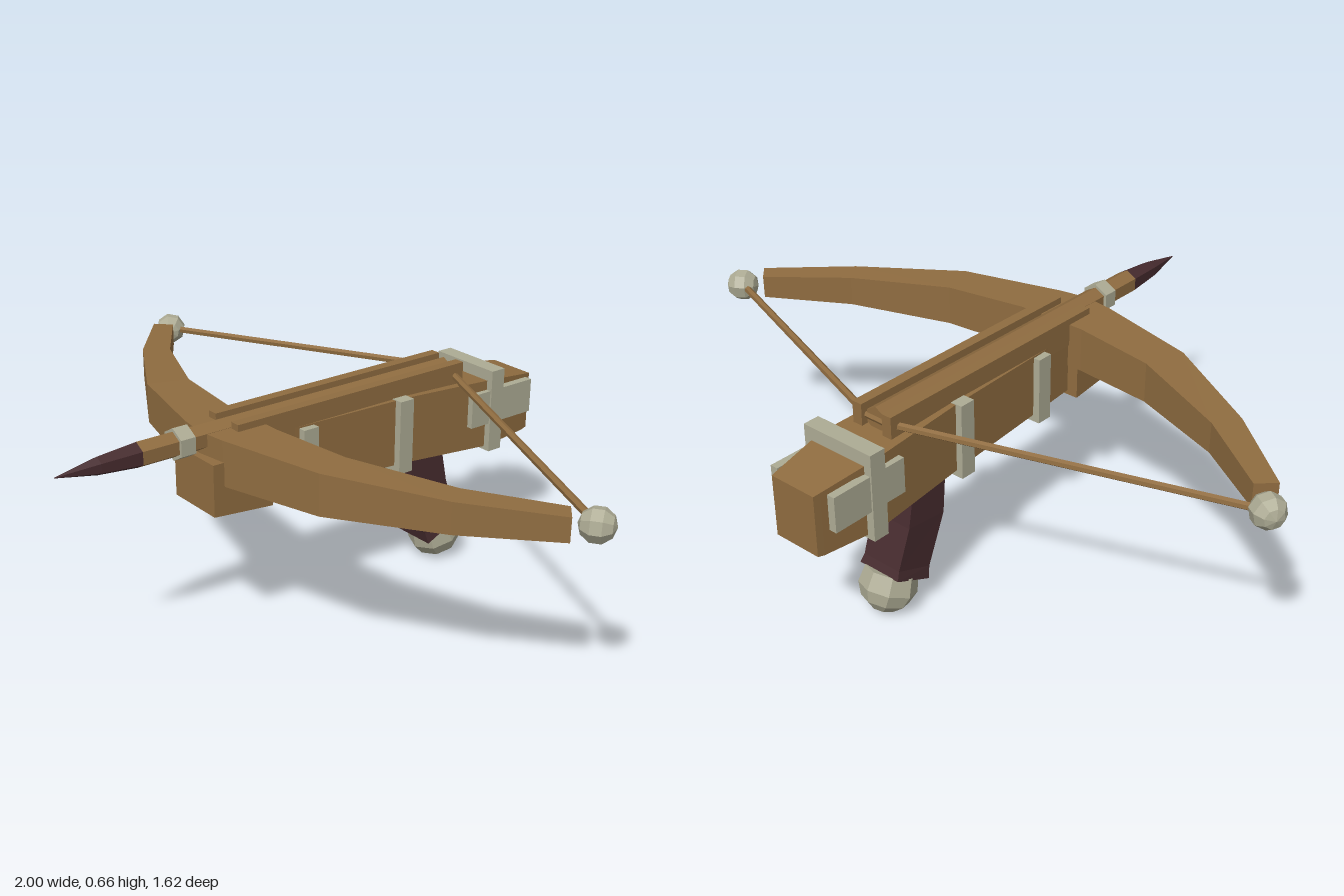
import * as THREE from 'three';

const paint = (name, color) => Object.assign(new THREE.MeshStandardMaterial({ color, flatShading: true }), { name });

// Solid through matching rings of corners, each counter-clockwise seen from the far end
function loft(rings) {
  const n = rings[0].length, last = (rings.length - 1) * n, index = [];
  for (let i = 0; i < rings.length - 1; i++) {
    for (let j = 0; j < n; j++) {
      const a = i * n + j, b = i * n + (j + 1) % n;
      index.push(a, b, b + n, a, b + n, a + n);
    }
  }
  for (let j = 1; j < n - 1; j++) index.push(0, j + 1, j, last, last + j, last + j + 1);
  const g = new THREE.BufferGeometry();
  g.setAttribute('position', new THREE.Float32BufferAttribute(rings.flat(2), 3));
  g.setIndex(index);
  const flat = g.toNonIndexed();
  flat.computeVertexNormals();
  return flat;
}

// Rectangular section across z
const sectionZ = ([z, w, bottom, top]) => [[-w, bottom, z], [w, bottom, z], [w, top, z], [-w, top, z]];

export function createModel() {
  const group = new THREE.Group();
  group.name = 'crossbow';
  const wood = paint('wood', 0x8f6c40);
  const metal = paint('metal', 0xadab94);
  const dark = paint('dark wood', 0x462b2e);

  const add = (name, geometry, material, x = 0, y = 0, z = 0) => {
    const mesh = new THREE.Mesh(geometry, material);
    mesh.name = name;
    mesh.position.set(x, y, z);
    group.add(mesh);
    return mesh;
  };
  const box = (name, material, w, h, d, x, y, z) => add(name, new THREE.BoxGeometry(w, h, d), material, x, y, z);

  // Stock and the block that holds the bow
  add('stock', loft([
    [-0.81, 0.075, 0.38, 0.56], [-0.79, 0.078, 0.376, 0.563], [-0.62, 0.1, 0.373, 0.587],
    [-0.3, 0.085, 0.395, 0.6], [0.2, 0.065, 0.418, 0.6],
  ].map(sectionZ)), wood);
  add('frontBlock', loft([[0.2, 0.1, 0.405, 0.575], [0.39, 0.094, 0.42, 0.572]].map(sectionZ)), wood);

  // Rails beside the bolt
  for (const s of [-1, 1]) box('rail', wood, 0.032, 0.085, 0.82, s * 0.053, 0.6125, -0.12);

  // Bow: [front x, front z, back x, back z, bottom, top] for one half
  const half = [
    [0.09, 0.357, 0.112, 0.198, 0.502, 0.635],
    [0.406, 0.28, 0.365, 0.162, 0.51, 0.63],
    [0.711, 0.107, 0.663, 0.037, 0.525, 0.615],
    [0.936, -0.075, 0.89, -0.12, 0.536, 0.605],
  ];
  const bowRing = (s) => ([fx, fz, bx, bz, b, t]) =>
    [[s * fx, b, fz], [s * bx, b, bz], [s * bx, t, bz], [s * fx, t, fz]];
  const middle = [0, 0.37, 0, 0.198, 0.5, 0.636];
  add('bow', loft([...[...half].reverse().map(bowRing(-1)), bowRing(1)(middle), ...half.map(bowRing(1))]), wood);

  // Bow tips and string
  const rod = (name, from, to, r) => {
    const a = new THREE.Vector3(...from), d = new THREE.Vector3(...to).sub(a);
    const mesh = add(name, new THREE.CylinderGeometry(r, r, d.length(), 6), wood);
    mesh.position.copy(a).addScaledVector(d, 0.5);
    mesh.quaternion.setFromUnitVectors(new THREE.Vector3(0, 1, 0), d.normalize());
  };
  for (const s of [-1, 1]) {
    const tip = add('bowTip', new THREE.SphereGeometry(0.049, 8, 5), metal, s * 0.953, 0.57, -0.15);
    tip.quaternion.setFromUnitVectors(new THREE.Vector3(0, 1, 0), new THREE.Vector3(s * 0.83, 0, -0.56).normalize());
    rod('string', [s * 0.953, 0.57, -0.15], [s * 0.04, 0.618, -0.51], 0.011);
  }
  rod('stringMiddle', [-0.045, 0.618, -0.51], [0.045, 0.618, -0.51], 0.011);

  // Bolt with collar and point
  const shaft = new THREE.CylinderGeometry(0.037, 0.037, 1.08, 6).rotateX(Math.PI / 2);
  add('boltShaft', shaft, wood, 0, 0.618, 0.025);
  const point = [[0, 0], [0.037, 0], [0.026, 0.12], [0.001, 0.245]].map((p) => new THREE.Vector2(...p));
  add('boltPoint', new THREE.LatheGeometry(point, 6).rotateX(Math.PI / 2), dark, 0, 0.618, 0.563);
  add('boltCollar', new THREE.CylinderGeometry(0.047, 0.047, 0.046, 6).rotateX(Math.PI / 2), metal, 0, 0.618, 0.43);

  // Metal bands around the stock: [z, half width, bottom, top]
  for (const [z, w, b, t] of [[0.06, 0.093, 0.39, 0.595], [-0.28, 0.106, 0.375, 0.602], [-0.63, 0.12, 0.363, 0.622]]) {
    box('band', metal, 2 * w, t - b, 0.05, 0, (b + t) / 2, z);
  }
  for (const s of [-1, 1]) box('sidePlate', metal, 0.024, 0.105, 0.245, s * 0.103, 0.506, -0.656);

  // Grip: [front y, front z, back y, back z, half width], from the bottom up
  add('grip', loft([
    [0.085, -0.415, 0.14, -0.535, 0.072], [0.12, -0.405, 0.165, -0.523, 0.066],
    [0.272, -0.345, 0.285, -0.48, 0.069], [0.42, -0.33, 0.42, -0.453, 0.067],
  ].map(([fy, fz, by, bz, w]) => [[-w, fy, fz], [w, fy, fz], [w, by, bz], [-w, by, bz]])), dark);

  // Pommel
  const knob = [[0, -0.108], [0.037, -0.108], [0.068, -0.083], [0.084, -0.045], [0.075, 0.008], [0, 0.008]];
  const pommel = add('pommel', new THREE.LatheGeometry(knob.map((p) => new THREE.Vector2(...p)), 8),
    metal, 0, 0.115, -0.488);
  pommel.rotation.x = 0.37;

  return group;
}
